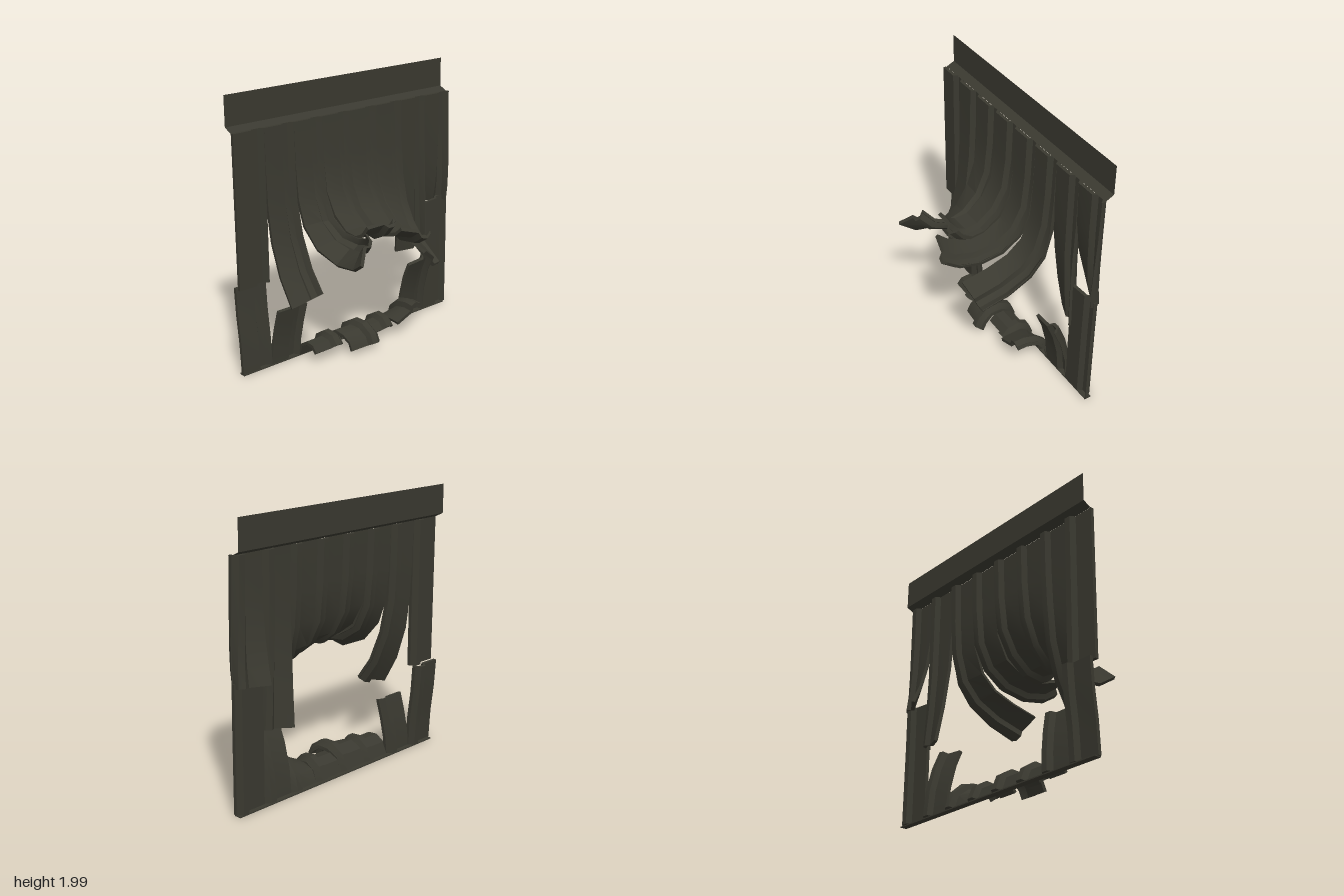
import * as THREE from 'three';
import { toCreasedNormals } from 'three/addons/utils/BufferGeometryUtils.js';

const steel = new THREE.MeshStandardMaterial({ color: 0x3a3930, side: THREE.DoubleSide });
steel.name = 'dark olive steel';

const THICK = 0.025;
// Corrugation across one panel: [distance across, depth]
const RIB = [[0, 0], [0.145, 0], [0.168, -0.035], [0.215, -0.035], [0.243, 0], [0.25, 0]];
const SECTION = [...RIB, ...RIB.map(([u, d]) => [u, d - THICK]).reverse()];

// Sweeps the corrugated section down a list of stations [x, y, zShift, roll].
// cutTop and cutEnd slant the torn ends along the panel.
function panelGeometry(z0, stations, cutTop = 0, cutEnd = 0) {
  const n = stations.length, m = RIB.length, k = SECTION.length;
  const pos = [], index = [];
  stations.forEach(([x, y, dz = 0, roll = 0], i) => {
    const a = stations[Math.max(i - 1, 0)], b = stations[Math.min(i + 1, n - 1)];
    const t = new THREE.Vector2(b[0] - a[0], b[1] - a[1]).normalize();
    const c = Math.cos(roll), s = Math.sin(roll);
    const cut = i === 0 ? cutTop : i === n - 1 ? cutEnd : 0;
    for (const [u, d] of SECTION) {
      const w = u - 0.125;
      const up = d * c - w * s;
      const along = cut * w / 0.125;
      pos.push(x - t.y * up + t.x * along, y + t.x * up + t.y * along,
        z0 - 0.125 + dz - w * c - d * s);
    }
  });
  for (let i = 0; i < n - 1; i++) {
    for (let j = 0; j < k; j++) {
      const p = i * k + j, q = i * k + (j + 1) % k;
      index.push(p, p + k, q + k, p, q + k, q);
    }
  }
  // Torn end faces
  const e = (n - 1) * k;
  for (let j = 0; j < m - 1; j++) {
    const f = j, g = j + 1, h = k - 2 - j, l = k - 1 - j;
    index.push(f, g, h, f, h, l, e + f, e + h, e + g, e + f, e + l, e + h);
  }
  const geo = new THREE.BufferGeometry();
  geo.setAttribute('position', new THREE.Float32BufferAttribute(pos, 3));
  geo.setIndex(index);
  return toCreasedNormals(geo, 0.5);
}

const X = -0.245, TOP = 1.757, BASE = 0.02;

// Hanging panels, from the +z side to the -z side
const upper = [
  { name: 'firstHangingPanel', path: [[X, TOP], [X, 1.2], [X, 0.655]] },
  { name: 'secondHangingPanel', cut: -0.015,
    path: [[X, TOP], [-0.24, 1.45], [-0.228, 1.2], [-0.195, 0.95, -0.01, -0.08],
      [-0.12, 0.72, -0.02, -0.18], [-0.015, 0.54, -0.03, -0.3]] },
  { name: 'thirdHangingPanel',
    path: [[X, TOP], [-0.235, 1.45], [-0.21, 1.21], [-0.14, 1.04, 0, -0.1], [-0.02, 0.93, -0.01, -0.35],
      [0.13, 0.89, -0.025, -0.65], [0.28, 0.92, 0, -0.8], [0.37, 0.99, 0.045, -0.92]] },
  { name: 'fourthHangingPanel',
    path: [[X, TOP], [-0.235, 1.45], [-0.205, 1.22], [-0.12, 1.07], [0, 0.98], [0.1, 0.97], [0.16, 1], [0.215, 1.07]] },
  { name: 'fifthHangingPanel',
    path: [[X, TOP], [-0.235, 1.45], [-0.21, 1.2], [-0.13, 1.05], [0, 0.96, 0.01, 0.08],
      [0.15, 0.93, 0.03, 0.18], [0.29, 0.96, 0.045, 0.3], [0.375, 1.02, 0.06, 0.35]] },
  { name: 'sixthHangingPanel',
    path: [[X, TOP], [-0.237, 1.45], [-0.218, 1.2], [-0.16, 1.01, 0, 0.1], [-0.06, 0.89, 0.01, 0.25],
      [0.1, 0.8, 0.025, 0.5], [0.29, 0.73, 0.05, 0.68]] },
  { name: 'seventhHangingPanel', cut: -0.015,
    path: [[X, TOP], [X, 1.4], [-0.248, 1.1, 0, -0.1], [-0.26, 0.8, -0.012, -0.26], [-0.28, 0.545, -0.025, -0.42]] },
  { name: 'eighthHangingPanel', cut: -0.01,
    path: [[X, TOP], [X, 1.45, 0, -0.05], [-0.255, 1.2, 0, -0.22], [-0.275, 1.02, 0, -0.42], [-0.305, 0.89, -0.005, -0.6]] },
];

// Standing remains, each listed from its torn tip down to the sill
const lower = [
  { name: 'firstStandingPanel', path: [[-0.295, 0.66], [-0.282, 0.45], [-0.258, 0.25], [X, BASE]] },
  { name: 'secondStandingPanel', path: [[-0.185, 0.435, -0.03], [-0.215, 0.3, -0.02], [-0.238, 0.15, -0.008], [X, BASE]] },
  { name: 'thirdCurledStub', path: [[-0.07, 0.08], [-0.1, 0.12], [-0.16, 0.125], [-0.215, 0.09], [X, 0.012]] },
  { name: 'fourthCurledStub',
    path: [[0.01, 0.045, -0.03, 0.1], [-0.015, 0.1, -0.03, 0.1], [-0.07, 0.14, -0.02, 0.1], [-0.14, 0.145, -0.01],
      [-0.21, 0.105], [X, 0.012]] },
  { name: 'fifthCurledStub', path: [[-0.07, 0.07], [-0.11, 0.115], [-0.16, 0.12], [-0.215, 0.09], [X, 0.012]] },
  { name: 'sixthCurledStub',
    path: [[0, 0.155, 0, 0.4], [-0.07, 0.16, 0, 0.38], [-0.15, 0.145, 0, 0.3], [-0.215, 0.1, 0, 0.1], [X, 0.012]] },
  { name: 'seventhStandingPanel', cut: -0.015,
    path: [[-0.13, 0.5], [-0.185, 0.37], [-0.228, 0.2], [X, BASE]] },
  { name: 'eighthStandingPanel', cut: -0.01, path: [[-0.248, 0.915], [X, 0.6], [X, 0.3], [X, BASE]] },
];

export function createModel() {
  const group = new THREE.Group();
  const add = (name, geo) => {
    const mesh = new THREE.Mesh(geo, steel);
    mesh.name = name;
    group.add(mesh);
    return mesh;
  };

  // Torn corrugated panels
  for (let i = 0; i < 8; i++) {
    const z0 = 0.99 - i * 0.2475;
    add(upper[i].name, panelGeometry(z0, upper[i].path, 0, upper[i].cut));
    add(lower[i].name, panelGeometry(z0, lower[i].path, lower[i].cut));
  }

  // Header sheet with a sloped drip lip
  const header = add('headerSheet', new THREE.PlaneGeometry(1.98, 0.215));
  header.rotation.y = Math.PI / 2;
  header.position.set(-0.335, 1.8925, 0);
  const lip = add('headerLip', new THREE.PlaneGeometry(1.98, Math.hypot(0.062, 0.03)));
  lip.rotation.set(-Math.atan2(0.062, 0.03), Math.PI / 2, 0, 'YXZ');
  lip.position.set(-0.304, 1.77, 0);

  // Thin sill strip under the panels
  const sill = add('sillStrip', new THREE.BoxGeometry(0.05, 0.008, 1.97));
  sill.position.set(-0.272, 0.012, 0);

  return group;
}
